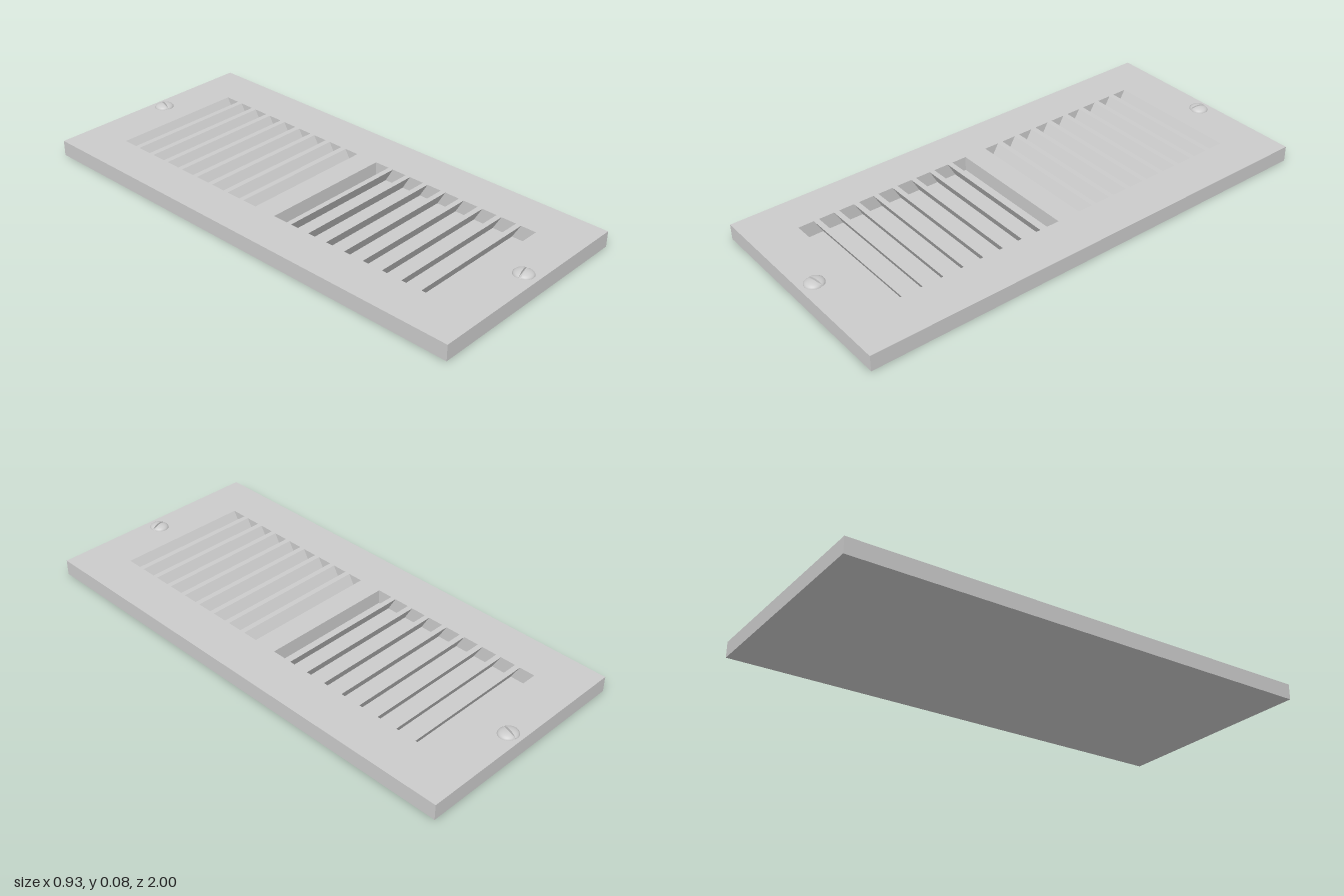
import * as THREE from 'three';

const W = 0.93, L = 2, T = 0.065;          // plate size
const X0 = -0.29, X1 = 0.28;               // louver span across the plate
const FLOOR = 0.004, PITCH = 0.0875, GAP = 0.065, LEAN = 0.035, START = 0.05, COUNT = 9;

const grey = new THREE.MeshStandardMaterial({ color: 0xcccccc });
const greyDouble = new THREE.MeshStandardMaterial({ color: 0xcccccc, side: THREE.DoubleSide });

function add(parent, name, geometry, material = grey) {
  const mesh = new THREE.Mesh(geometry, material);
  mesh.name = name;
  parent.add(mesh);
  return mesh;
}

// Lengthwise section with slanted slots; both halves lean towards the middle
function louverGeometry() {
  const half = [];
  for (let i = 0; i < COUNT; i++) {
    const a = START + i * PITCH;
    half.push([a, T], [i ? a - LEAN : a, FLOOR], [a + GAP - LEAN, FLOOR], [a + GAP, T]);
  }
  const mirrored = half.map(([z, y]) => [-z, y]).reverse();
  const outline = [[-L / 2, 0], [-L / 2, T], ...mirrored, ...half, [L / 2, T], [L / 2, 0]];
  const shape = new THREE.Shape(outline.map(([z, y]) => new THREE.Vector2(z, y)));
  const geometry = new THREE.ExtrudeGeometry(shape, { depth: X1 - X0, bevelEnabled: false });
  return geometry.rotateY(-Math.PI / 2).translate(X1, 0, 0);
}

// Domed screw head made of two halves with a driver slot between them
function makeScrew(z, angle) {
  const screw = new THREE.Group();
  screw.name = 'screw';
  const radius = 0.036, height = 0.017, slot = 0.004;
  const profile = [];
  for (let i = 0; i <= 8; i++) {
    const t = (i / 8) * Math.PI / 2;
    profile.push(new THREE.Vector2(radius * Math.cos(t), height * Math.sin(t)));
  }
  const dome = new THREE.LatheGeometry(profile, 20, 0, Math.PI);
  const wallShape = new THREE.Shape([
    ...profile, ...profile.slice(0, -1).reverse().map((p) => new THREE.Vector2(-p.x, p.y)),
  ]);
  const wall = new THREE.ShapeGeometry(wallShape).rotateY(-Math.PI / 2);
  for (const turn of [0, Math.PI]) {
    const side = new THREE.Group();
    side.name = 'screwHalf';
    add(side, 'screwDome', dome, greyDouble).position.x = slot;
    add(side, 'slotWall', wall, greyDouble).position.x = slot;
    side.rotation.y = turn;
    screw.add(side);
  }
  add(screw, 'slotFloor', new THREE.CylinderGeometry(radius - 0.003, radius, 0.006, 32)).position.y = 0.003;
  screw.position.set(0.028, T, z);
  screw.rotation.y = angle;
  return screw;
}

export function createModel() {
  const model = new THREE.Group();
  model.name = 'ventCover';

  // Solid side rails flank the louvered middle
  for (const [from, to] of [[-W / 2, X0], [X1, W / 2]]) {
    add(model, 'sideRail', new THREE.BoxGeometry(to - from, T, L)).position.set((from + to) / 2, T / 2, 0);
  }
  add(model, 'louvers', louverGeometry());

  // Fixing screws at both ends
  model.add(makeScrew(-0.947, -0.3), makeScrew(0.94, -1.35));
  return model;
}
